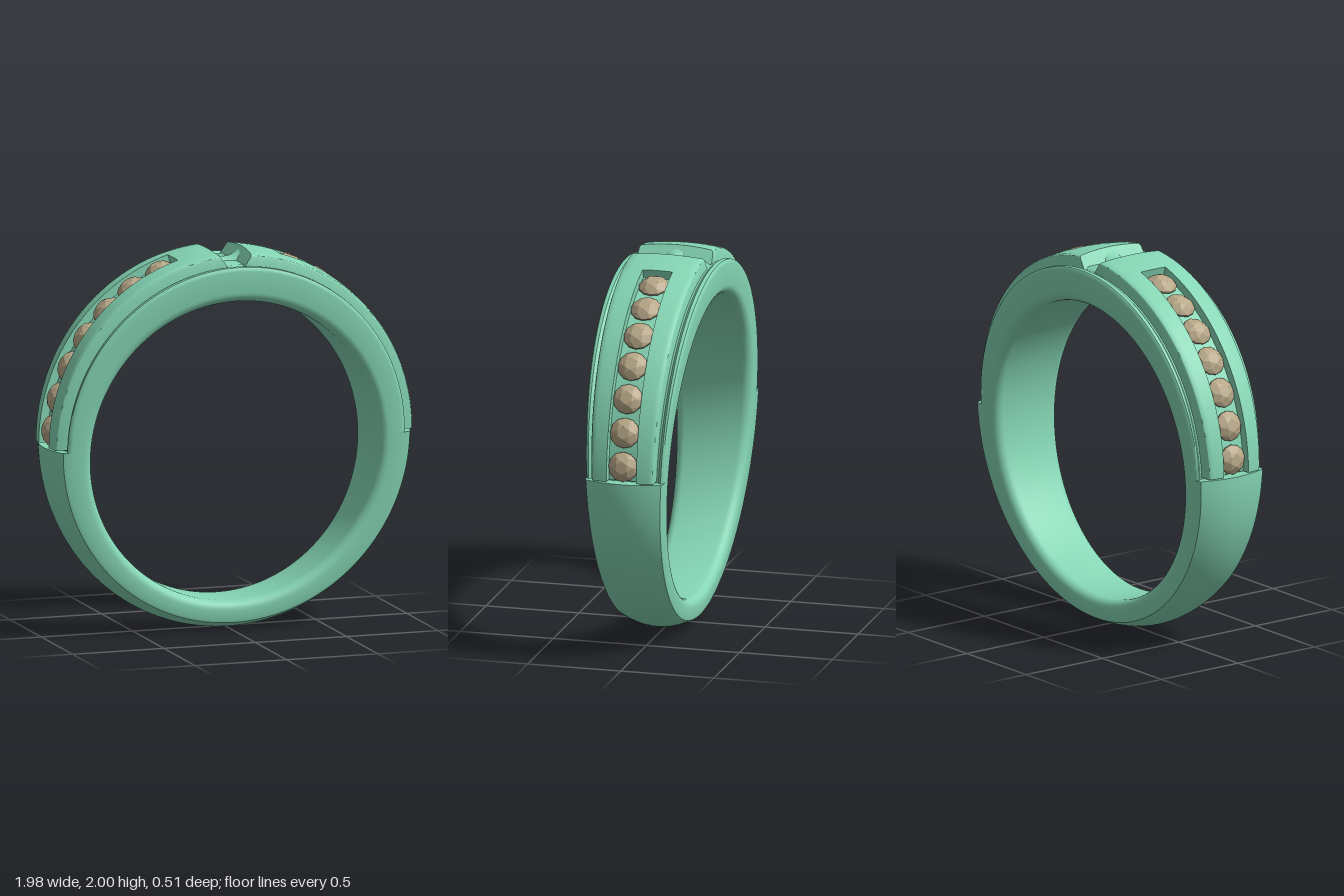
import * as THREE from 'three';
import { mergeGeometries, toCreasedNormals } from 'three/addons/utils/BufferGeometryUtils.js';
import { ConvexGeometry } from 'three/addons/geometries/ConvexGeometry.js';

const metal = new THREE.MeshStandardMaterial({ color: 0x85d6b5 });
const stone = new THREE.MeshStandardMaterial({ color: 0xb8a888 });
const DEG = Math.PI / 180;
const FLOOR = 0.93; // radius of the side ledges and notch floor
const CHANNEL_START = 16.5 * DEG, CHANNEL_HALF = 0.08;

// Angles run from the top of the ring towards +x, radii from (0, 1)
const innerRadius = (p) => -0.05 * Math.cos(p) + Math.sqrt(0.795 ** 2 - (0.05 * Math.sin(p)) ** 2);
const halfWidth = (p, r) => 0.155 + 0.053 * (1 + r * Math.cos(p));
const bandHalf = (p) => 0.165 + 0.033 * Math.cos(p);

// Half section [z, r] from the inside to the outside, mirrored to a closed loop
const mirrorLoop = (half) =>
  half.concat(half.filter(([z]) => z > 0).reverse().map(([z, r]) => [-z, r]));

// Sweep a closed section round the ring, with end caps; startAt gives the first angle per radius
function sweep(section, startAt, end, steps) {
  const pos = [], idx = [];
  let n = 0;
  for (let j = 0; j <= steps; j++) {
    const t = j / steps;
    const loop = section(startAt(1) + (end - startAt(1)) * t);
    n = loop.length;
    for (const [z, r] of loop) {
      const s = startAt(r), p = s + (end - s) * t;
      pos.push(0.99 * r * Math.sin(p), 1 + r * Math.cos(p), z);
    }
  }
  for (let j = 0; j < steps; j++) {
    for (let i = 0; i < n; i++) {
      const a = j * n + i, b = j * n + (i + 1) % n;
      idx.push(a, a + n, b, b, a + n, b + n);
    }
  }
  const caps = [[section(startAt(1)), 0], [section(end), steps * n]];
  caps.forEach(([loop, offset], k) => {
    const outline = loop.map(([z, r]) => new THREE.Vector2(z, r));
    for (const [a, b, c] of THREE.ShapeUtils.triangulateShape(outline, [])) {
      idx.push(offset + a, offset + (k ? c : b), offset + (k ? b : c));
    }
  });
  const g = new THREE.BufferGeometry();
  g.setAttribute('position', new THREE.Float32BufferAttribute(pos, 3));
  g.setIndex(idx);
  return g;
}

function addMesh(parent, name, geometry, material) {
  const mesh = new THREE.Mesh(geometry, material);
  mesh.name = name;
  parent.add(mesh);
  return mesh;
}

// Rounded inside of the hoop, shared by both halves
function insidePoints(p) {
  const ri = innerRadius(p), half = [[0, ri]];
  for (let k = 0; k <= 6; k++) {
    const a = (k / 6) * Math.PI / 2, r = ri + 0.05 * (1 - Math.cos(a));
    half.push([halfWidth(p, r) - 0.05 * (1 - Math.sin(a)), r]);
  }
  return half;
}

// Upper half: flat ledges with a groove beside the raised band
function upperSection(p) {
  const w = halfWidth(p, FLOOR), b = bandHalf(p);
  return mirrorLoop([...insidePoints(p),
    [halfWidth(p, 0.908), 0.908], [w - 0.003, 0.922], [w - 0.01, FLOOR],
    [b + 0.028, 0.932], [b + 0.014, 0.92], [b - 0.01, 0.918], [b - 0.03, FLOOR], [0, FLOOR]]);
}

// Lower half: softly crowned shank
function lowerSection(p) {
  const w = halfWidth(p, 0.95), half = insidePoints(p);
  half.push([halfWidth(p, 0.94), 0.94]);
  for (let k = 0; k <= 8; k++) {
    const u = 0.97 * (1 - k / 8);
    half.push([w * u, 1 - 0.045 * u * u]);
  }
  return mirrorLoop(half);
}

// Raised band, either solid or with a sunken channel
function bandSection(channel) {
  return (p) => {
    const b = bandHalf(p), crown = (z) => 1 - 0.015 * (z / b) ** 2;
    const half = [[0, 0.9], [b + 0.004, 0.9], [b, 0.972], [b - 0.004, 0.981]];
    const inner = channel ? CHANNEL_HALF : 0;
    for (let k = 0; k <= 5; k++) {
      const z = b - 0.012 + (inner - b + 0.012) * (k / 5);
      half.push([z, crown(z)]);
    }
    if (channel) half.push([CHANNEL_HALF, 0.95], [0, 0.95]);
    return mirrorLoop(half);
  };
}

// Faceted stone with its axis along y
function gemGeometry() {
  const pts = [new THREE.Vector3(0, -0.05, 0)];
  const ring = (n, r, y, turn) => {
    for (let i = 0; i < n; i++) {
      const a = ((i + turn) / n) * Math.PI * 2;
      pts.push(new THREE.Vector3(r * Math.cos(a), y, r * Math.sin(a)));
    }
  };
  ring(12, 0.079, -0.006, 0);
  ring(12, 0.079, 0.002, 0);
  ring(6, 0.06, 0.022, 0.5);
  ring(6, 0.034, 0.036, 0);
  return new ConvexGeometry(pts);
}

export function createModel() {
  const ring = new THREE.Group();
  ring.name = 'ring';

  // Hoop
  const hoop = mergeGeometries([
    sweep(upperSection, () => -Math.PI / 2, Math.PI / 2, 96),
    sweep(lowerSection, () => Math.PI / 2, Math.PI * 1.5, 96),
  ]);
  addMesh(ring, 'hoop', toCreasedNormals(hoop, 0.6), metal);

  // Raised shoulders: sloped notch wall, solid part, then the stone channel
  const notchWall = (r) => Math.asin((0.05 + 0.65 * (r - FLOOR)) / r);
  const band = toCreasedNormals(mergeGeometries([
    sweep(bandSection(false), notchWall, CHANNEL_START, 12),
    sweep(bandSection(true), () => CHANNEL_START, 89.5 * DEG, 64),
  ]), 0.5);
  const gem = gemGeometry();
  for (const side of ['left', 'right']) {
    const shoulder = new THREE.Group();
    shoulder.name = side + 'Shoulder';
    if (side === 'right') shoulder.rotation.y = Math.PI;
    addMesh(shoulder, side + 'Band', band, metal);
    for (let i = 0; i < 7; i++) {
      const p = (21.8 + 10.52 * i) * DEG;
      const m = addMesh(shoulder, side + 'Stone' + (i + 1), gem, stone);
      m.position.set(0.99 * 0.966 * Math.sin(p), 1 + 0.966 * Math.cos(p), 0);
      m.rotation.z = -p;
    }
    ring.add(shoulder);
  }

  // Flared saddle bar bridging the notch
  const profile = [];
  for (let k = 0; k <= 12; k++) {
    const x = -0.09 + 0.015 * k;
    profile.push(new THREE.Vector2(0.06 + 0.036 * (x / 0.09) ** 2, x));
  }
  const bar = addMesh(ring, 'notchBar', new THREE.LatheGeometry(profile, 32), metal);
  bar.rotation.z = -Math.PI / 2;
  bar.position.y = 1.886;

  return ring;
}
